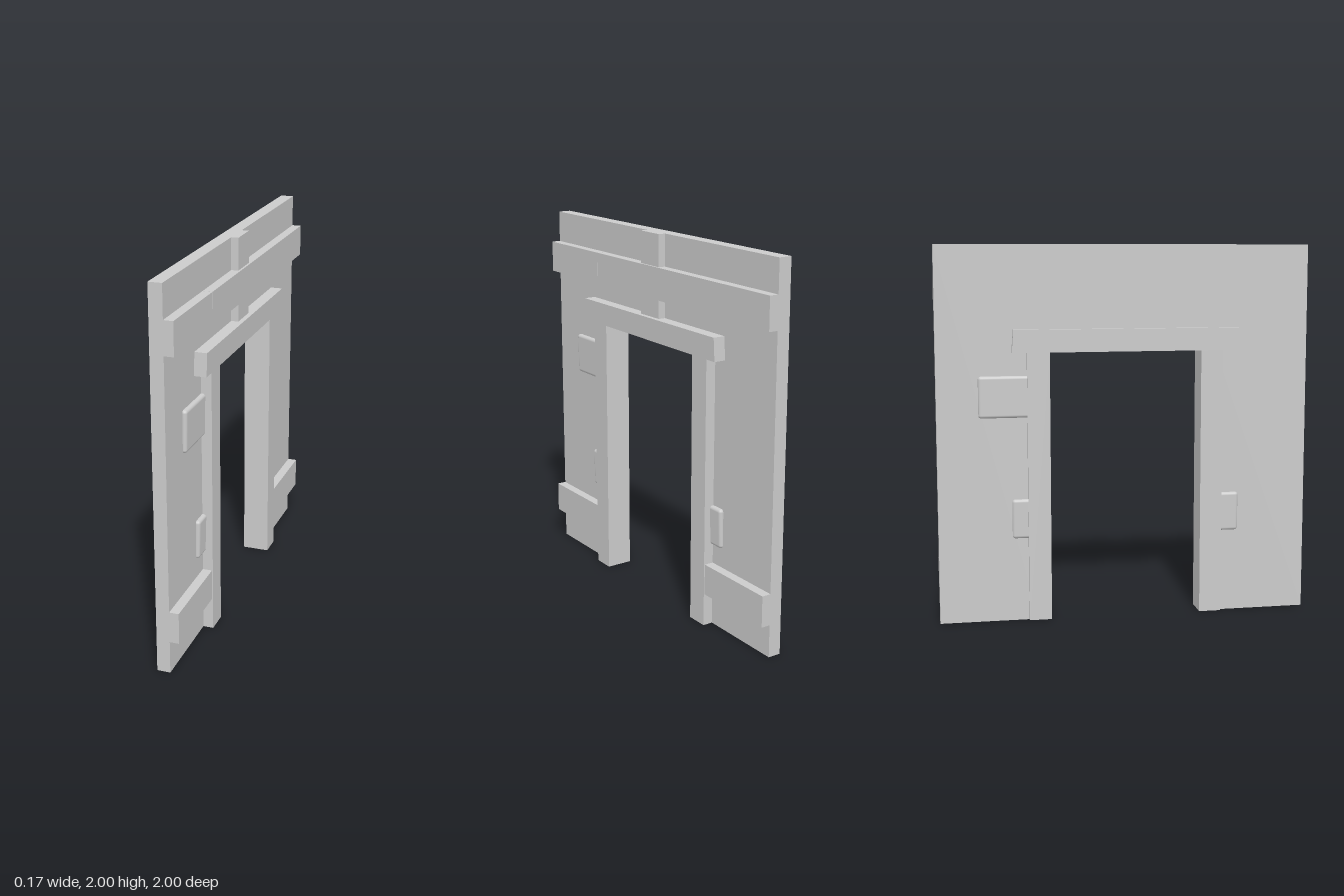
import * as THREE from 'three';
import { RoundedBoxGeometry } from 'three/addons/geometries/RoundedBoxGeometry.js';

const material = new THREE.MeshStandardMaterial({ color: 0xcccccc });

export function createModel() {
  const model = new THREE.Group();

  const add = (name, geometry) => {
    const mesh = new THREE.Mesh(geometry, material);
    mesh.name = name;
    model.add(mesh);
    return mesh;
  };

  // Axis-aligned block given by its limits
  const block = (name, [x0, x1], [y0, y1], [z0, z1]) => {
    const mesh = add(name, new THREE.BoxGeometry(x1 - x0, y1 - y0, z1 - z0));
    mesh.position.set((x0 + x1) / 2, (y0 + y1) / 2, (z0 + z1) / 2);
    return mesh;
  };

  // Rounded stone, its face leaning in towards the bottom
  const stone = (name, [x0, x1], [y0, y1], [z0, z1]) => {
    const h = y1 - y0;
    const geometry = new RoundedBoxGeometry(x1 - x0, h, z1 - z0, 4, 0.016);
    const p = geometry.attributes.position;
    for (let i = 0; i < p.count; i++) {
      const low = 0.5 - p.getY(i) / h;
      p.setX(i, p.getX(i) * (1 - 0.12 * low));
    }
    const mesh = add(name, geometry);
    mesh.position.set((x0 + x1) / 2, (y0 + y1) / 2, (z0 + z1) / 2);
  };

  // Plaster wall with the door opening cut out (shape x runs along z)
  const outline = [[-1, 0], [-0.47, 0], [-0.47, 1.5], [0.47, 1.5], [0.47, 0], [1, 0], [1, 2], [-1, 2]];
  const shape = new THREE.Shape(outline.map(([z, y]) => new THREE.Vector2(z, y)));
  const wall = add('wall', new THREE.ExtrudeGeometry(shape, { depth: 0.07, bevelEnabled: false }));
  wall.rotation.y = -Math.PI / 2;
  wall.position.x = 0.015;

  // Door jambs
  block('leftJamb', [-0.075, 0.07], [0, 1.46], [0.41, 0.53]);
  block('rightJamb', [-0.075, 0.07], [0, 1.46], [-0.525, -0.405]);

  // Lintel, with ends slanting in towards the top
  const lintel = block('lintel', [-0.085, 0.08], [1.44, 1.56], [-0.605, 0.625]);
  const lp = lintel.geometry.attributes.position;
  for (let i = 0; i < lp.count; i++) {
    if (lp.getY(i) > 0) lp.setZ(i, lp.getZ(i) - Math.sign(lp.getZ(i)) * 0.009);
  }
  lintel.geometry.computeVertexNormals();

  // Timber framing on the outer face
  block('upperBeamLong', [0, 0.065], [1.66, 1.83], [-1, 0.498]);
  block('upperBeamShort', [0, 0.065], [1.66, 1.83], [0.5, 1]);
  block('centrePost', [0, 0.054], [1.5, 2], [-0.083, 0.083]);
  block('lowerBeamFront', [0, 0.065], [0.175, 0.342], [0.5, 1]);
  block('lowerBeamBack', [0, 0.065], [0.175, 0.342], [-1, -0.5]);

  // Stones beside the jambs: the lower pair goes through the wall
  stone('lowerStoneFront', [-0.071, 0.037], [0.448, 0.66], [0.44, 0.625]);
  stone('lowerStoneBack', [-0.071, 0.037], [0.448, 0.66], [-0.61, -0.44]);
  stone('upperStoneOuter', [-0.04, 0.037], [1.097, 1.318], [0.44, 0.785]);
  stone('upperStoneInner', [-0.071, 0], [1.097, 1.318], [-0.782, -0.44]);

  return model;
}
